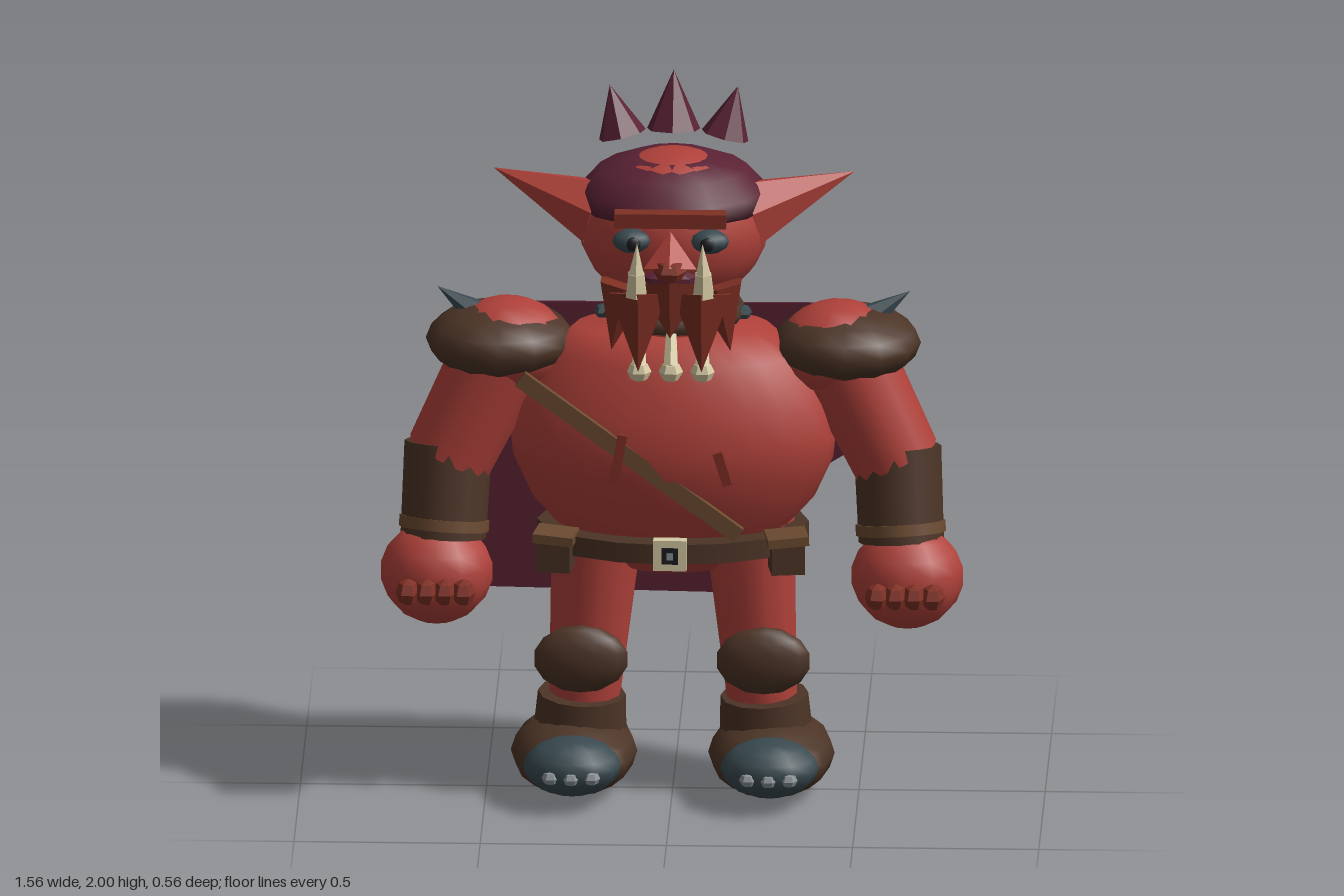
import * as THREE from 'three';

const mat = (name, color) => {
  const m = new THREE.MeshStandardMaterial({ color });
  m.name = name;
  return m;
};

export function createModel() {
  const root = new THREE.Group();
  root.name = 'ogreWarrior';

  const skin = mat('red skin', 0xb0413a);
  const darkSkin = mat('dark red', 0x7f3024);
  const leather = mat('dark leather', 0x4c3426);
  const strapBrown = mat('strap brown', 0x6b4a30);
  const plum = mat('plum cloth', 0x5a2234);
  const teal = mat('slate teal', 0x394a50);
  const bone = mat('bone', 0xd8cca6);
  const black = mat('near black', 0x1d1c20);
  const steel = mat('steel', 0x8b9296);

  const V = (p) => new THREE.Vector3(...p);
  const flat = (g) => {
    const f = g.index ? g.toNonIndexed() : g;
    f.computeVertexNormals();
    return f;
  };
  const add = (name, geo, material, pos = [0, 0, 0], rot = [0, 0, 0], parent = root) => {
    const m = new THREE.Mesh(geo, material);
    m.name = name;
    m.position.set(...pos);
    m.rotation.set(...rot);
    parent.add(m);
    return m;
  };
  const ball = (name, material, pos, r, w = 14, h = 10, faceted = false) => {
    const g = new THREE.SphereGeometry(1, w, h).scale(...r);
    return add(name, faceted ? flat(g) : g, material, pos);
  };
  const box = (name, material, pos, size, rot) =>
    add(name, new THREE.BoxGeometry(...size), material, pos, rot);
  // Tapered limb or cone running from point a to point b
  const limb = (name, material, a, b, ra, rb, seg = 12, faceted = false) => {
    const d = V(b).sub(V(a));
    const g = new THREE.CylinderGeometry(rb, ra, d.length(), seg);
    const m = add(name, faceted ? flat(g) : g, material);
    m.position.copy(V(a)).addScaledVector(d, 0.5);
    m.quaternion.setFromUnitVectors(new THREE.Vector3(0, 1, 0), d.normalize());
    return m;
  };
  const spike = (name, material, a, b, r, seg = 6) => limb(name, material, a, b, r, 0, seg, true);

  // Barrel torso
  const profile = [[0, 0.6], [0.13, 0.62], [0.27, 0.7], [0.38, 0.82], [0.43, 0.93], [0.437, 1.0],
    [0.42, 1.1], [0.34, 1.23], [0.26, 1.3], [0, 1.32]].map((p) => new THREE.Vector2(...p));
  add('torso', new THREE.LatheGeometry(profile, 24).scale(1, 1, 0.54), skin, [0, 0, -0.03]);
  limb('neck', skin, [0, 1.25, -0.06], [0, 1.43, -0.05], 0.16, 0.15);
  add('collar', new THREE.TorusGeometry(0.175, 0.022, 6, 16).rotateX(Math.PI / 2), leather, [0, 1.335, -0.06]);

  // Belt, buckle and chest strap
  add('belt', new THREE.CylinderGeometry(0.365, 0.365, 0.055, 16).scale(1, 1, 0.62), leather, [0, 0.722, -0.025]);
  box('buckle', bone, [0, 0.728, 0.213], [0.09, 0.085, 0.03]);
  box('buckleInset', black, [0, 0.728, 0.23], [0.045, 0.045, 0.006]);
  box('buckleStud', steel, [0, 0.728, 0.234], [0.018, 0.018, 0.006]);
  box('chestStrap', strapBrown, [-0.11, 0.995, 0.19], [0.73, 0.045, 0.022], [0, 0, -0.64]);
  box('chestScar', darkSkin, [-0.14, 0.99, 0.197], [0.026, 0.14, 0.015], [0, 0, -0.17]);
  box('chestScar', darkSkin, [0.14, 0.965, 0.195], [0.026, 0.095, 0.015], [0, 0, 0.3]);

  // Tooth necklace
  for (const x of [-0.085, 0, 0.085]) {
    limb('necklaceTooth', bone, [x, 1.32, 0.12], [x, 1.24, 0.155], 0.016, 0.022, 6, true);
    ball('necklaceBead', bone, [x, 1.225, 0.155], [0.033, 0.03, 0.03], 6, 4, true);
  }

  // Torn cape hanging behind the back
  const capeShape = new THREE.Shape([[0.415, 1.29], [-0.45, 1.29], [-0.58, 0.48], [0.1, 0.466],
    [0.2, 0.56], [0.07, 0.62], [0.5, 0.89]].map(([x, y]) => new THREE.Vector2(x, y - 1)));
  add('cape', new THREE.ExtrudeGeometry(capeShape, { depth: 0.008, bevelEnabled: false }), plum,
    [0, 1, -0.261], [0.025, 0.012, 0]);

  // Head and cap
  ball('head', skin, [0, 1.575, -0.04], [0.255, 0.215, 0.22], 18, 12);
  const capProfile = [[0, 0], [0.26, 0], [0.25, 0.045], [0.2, 0.1], [0.11, 0.135], [0, 0.145]]
    .map((p) => new THREE.Vector2(...p));
  add('cap', new THREE.LatheGeometry(capProfile, 14).scale(1, 1, 0.87), plum, [0, 1.637, -0.052]);

  // Three floating crown spikes
  spike('crownSpike', plum, [0, 1.84, -0.06], [0, 2, -0.085], 0.073, 7);
  for (const s of [-1, 1]) spike('crownSpike', plum, [s * 0.138, 1.82, -0.065], [s * 0.172, 1.955, -0.085], 0.066, 7);

  // Nose, mouth and central beard
  spike('nose', skin, [0, 1.53, 0.2], [0, 1.625, 0.17], 0.075, 5);
  ball('noseTip', darkSkin, [0, 1.535, 0.235], [0.045, 0.032, 0.045], 6, 4, true);
  ball('mouth', plum, [0, 1.505, 0.205], [0.08, 0.022, 0.04], 8, 5, true);
  box('browRidge', darkSkin, [0, 1.665, 0.185], [0.3, 0.04, 0.045]);
  spike('beardMiddle', darkSkin, [0, 1.475, 0.17], [0, 1.34, 0.22], 0.1);

  for (const s of [-1, 1]) {
    // Face sides
    spike('ear', skin, [s * 0.2, 1.615, -0.03], [s * 0.485, 1.71, -0.11], 0.1, 6);
    ball('eye', teal, [s * 0.105, 1.597, 0.165], [0.052, 0.033, 0.04], 10, 6);
    ball('pupil', black, [s * 0.1, 1.597, 0.195], [0.022, 0.02, 0.014], 8, 5);
    limb('tuskRoot', bone, [s * 0.09, 1.465, 0.235], [s * 0.09, 1.53, 0.24], 0.032, 0.024, 6, true);
    spike('tusk', bone, [s * 0.09, 1.525, 0.24], [s * 0.088, 1.615, 0.24], 0.023, 6);
    spike('beardFront', darkSkin, [s * 0.085, 1.455, 0.18], [s * 0.085, 1.25, 0.235], 0.09, 6);
    spike('beardSide', darkSkin, [s * 0.125, 1.46, 0.12], [s * 0.16, 1.28, 0.14], 0.075, 6);
    ball('collarStud', teal, [s * 0.19, 1.335, -0.03], [0.022, 0.02, 0.03], 6, 4, true);

    // Shoulder, arm and fist
    ball('shoulder', skin, [s * 0.445, 1.235, -0.04], [0.17, 0.13, 0.155], 10, 8);
    ball('shoulderPad', leather, [s * 0.465, 1.25, -0.045], [0.2, 0.1, 0.19], 12, 8);
    spike('shoulderSpike', teal, [s * 0.53, 1.315, -0.06], [s * 0.635, 1.385, -0.075], 0.04, 6);
    limb('upperArm', skin, [s * 0.46, 1.22, -0.03], [s * 0.6, 0.93, -0.01], 0.13, 0.12);
    limb('bracer', leather, [s * 0.603, 0.965, -0.015], [s * 0.615, 0.715, 0.035], 0.118, 0.115);
    limb('bracerTrim', strapBrown, [s * 0.612, 0.765, 0.025], [s * 0.614, 0.735, 0.032], 0.121, 0.121);
    ball('hand', skin, [s * 0.632, 0.625, 0.06], [0.152, 0.142, 0.142], 12, 9);
    for (let i = 0; i < 4; i++)
      ball('knuckle', darkSkin, [s * (0.555 + i * 0.05), 0.61, 0.2], [0.033, 0.037, 0.043], 6, 4, true);

    // Belt pouch
    box('pouch', leather, [s * 0.31, 0.7, 0.125], [0.09, 0.085, 0.085], [0, s * 0.15, 0]);
    box('pouchFlap', strapBrown, [s * 0.31, 0.75, 0.125], [0.11, 0.025, 0.1], [0, s * 0.15, s * 0.06]);

    // Leg, knee pad and boot
    limb('leg', skin, [s * 0.2, 0.78, -0.055], [s * 0.24, 0.22, -0.04], 0.128, 0.095);
    ball('kneePad', leather, [s * 0.245, 0.38, 0.058], [0.128, 0.095, 0.05], 10, 7);
    limb('bootCuff', leather, [s * 0.25, 0.15, -0.03], [s * 0.245, 0.26, -0.025], 0.125, 0.118);
    ball('boot', leather, [s * 0.265, 0.104, 0], [0.17, 0.104, 0.245], 12, 8);
    ball('toeCap', teal, [s * 0.265, 0.113, 0.165], [0.132, 0.08, 0.105], 12, 8);
    for (let i = -1; i <= 1; i++)
      ball('toeStud', steel, [s * 0.265 + i * 0.055, 0.105, 0.257 - Math.abs(i) * 0.008], [0.024, 0.02, 0.024], 6, 4, true);
  }
  return root;
}
